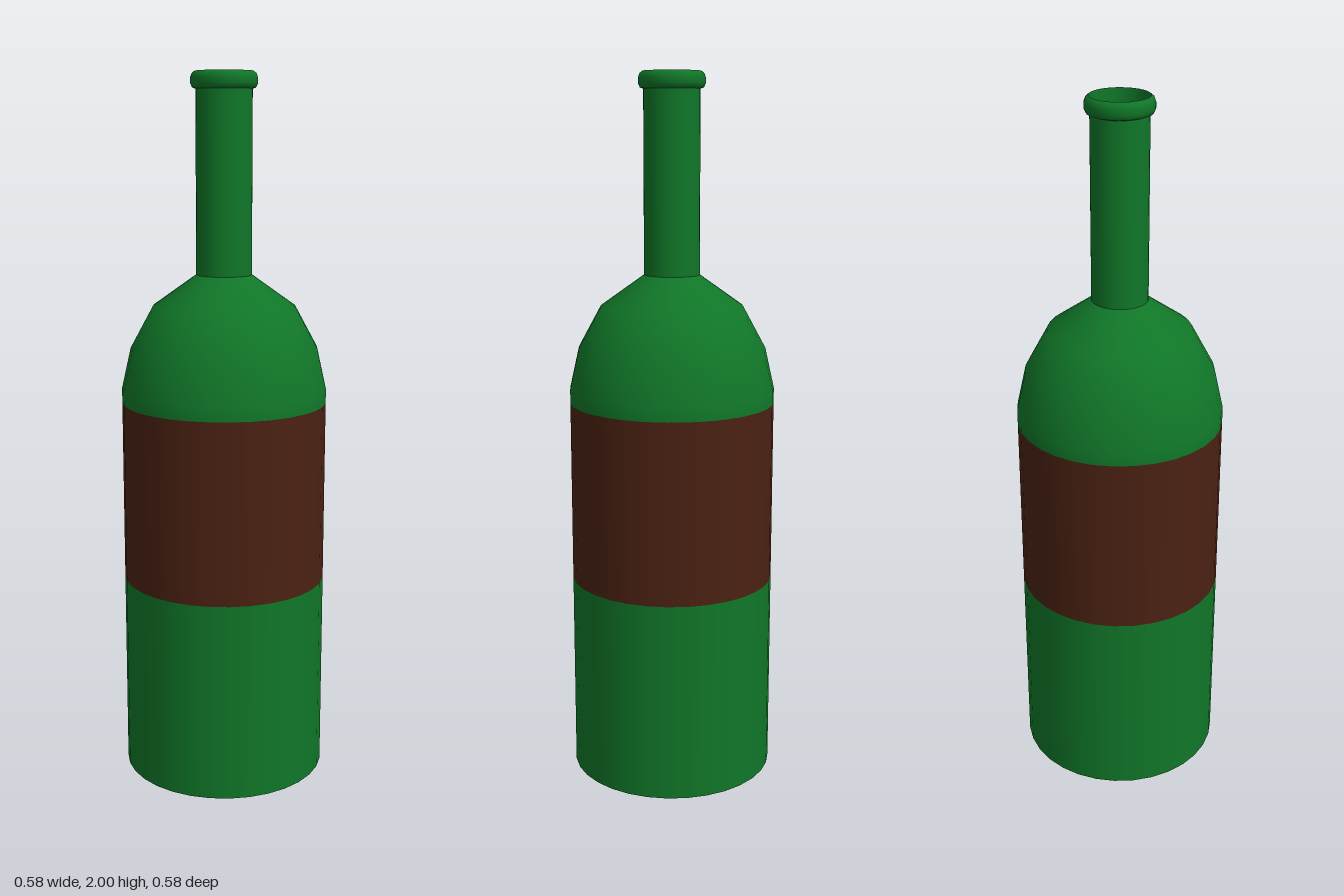
import * as THREE from 'three';

const SEGMENTS = 32;

export function createModel() {
  const group = new THREE.Group();
  const glass = new THREE.MeshStandardMaterial({ color: 0x107628, side: THREE.DoubleSide });
  const paper = new THREE.MeshStandardMaterial({ color: 0x4a2112, side: THREE.DoubleSide });

  // Turned section from [radius, height] points, listed bottom to top
  const turn = (name, material, points) => {
    const profile = points.map(([r, y]) => new THREE.Vector2(r, y));
    const mesh = new THREE.Mesh(new THREE.LatheGeometry(profile, SEGMENTS), material);
    mesh.name = name;
    group.add(mesh);
  };

  // Flat base
  turn('base', glass, [[0, 0], [0.29, 0]]);

  // Straight body, with the label band flush between its two glass parts
  turn('lowerBody', glass, [[0.29, 0], [0.29, 0.573]]);
  turn('label', paper, [[0.29, 0.573], [0.29, 1.09]]);

  // Domed shoulder
  turn('shoulder', glass, [[0.29, 1.09], [0.29, 1.13], [0.264, 1.245], [0.2, 1.363], [0.078, 1.45]]);

  // Open neck
  turn('neck', glass, [[0.078, 1.45], [0.078, 1.955]]);

  // Rounded lip and the mouth inside it
  turn('lip', glass, [[0.078, 1.953], [0.087, 1.956], [0.092, 1.967], [0.092, 1.983], [0.088, 1.994], [0.08, 2]]);
  turn('mouth', glass, [[0.078, 1.955], [0.08, 2]]);

  return group;
}
